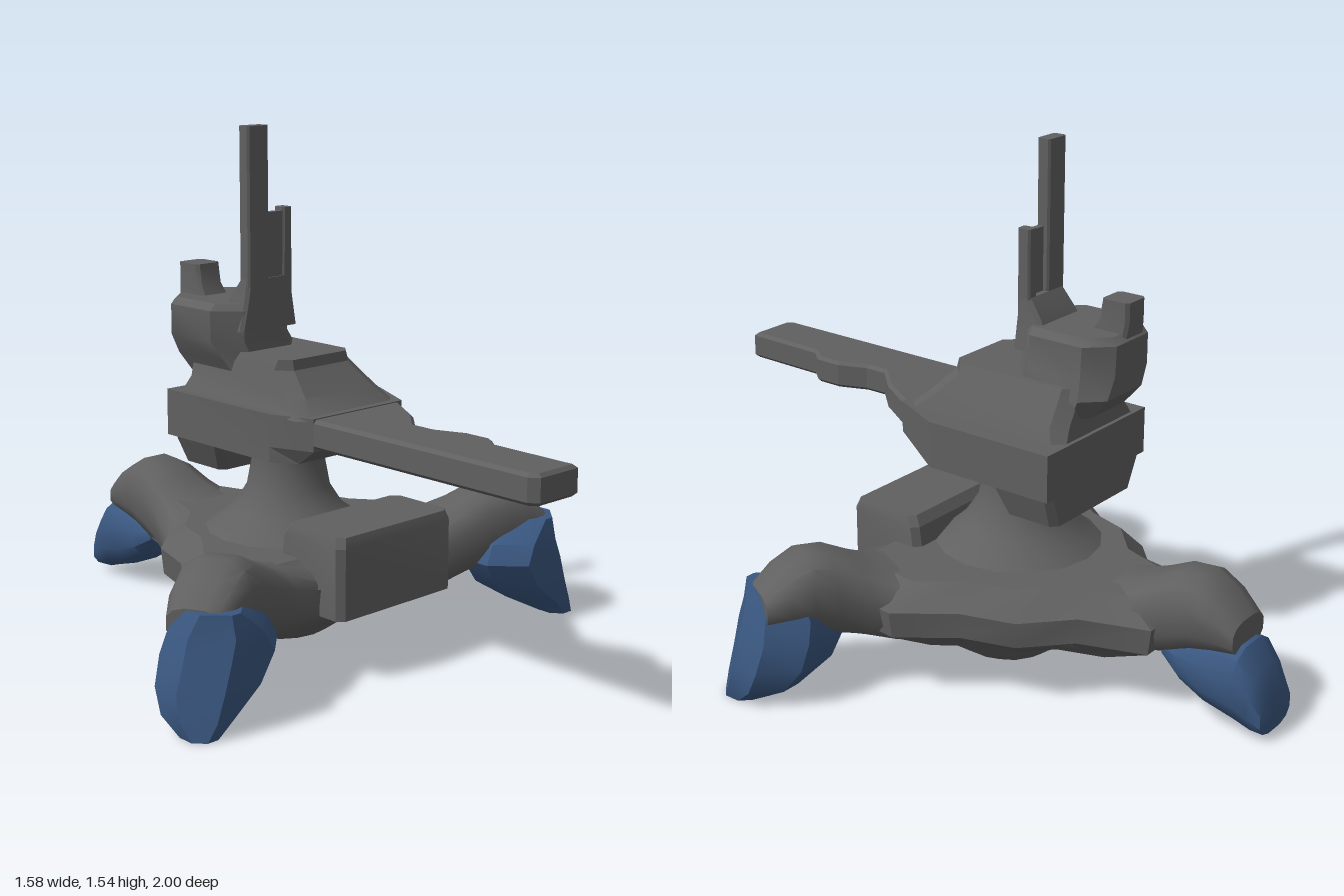
import * as THREE from 'three';
import { toCreasedNormals } from 'three/addons/utils/BufferGeometryUtils.js';

const grey = new THREE.MeshStandardMaterial({ color: 0x606060 });
grey.name = 'gunmetal grey';
const blue = new THREE.MeshStandardMaterial({ color: 0x3a5780 });
blue.name = 'foot blue';

function mesh(name, geometry, material = grey) {
  const m = new THREE.Mesh(geometry, material);
  m.name = name;
  return m;
}

// Closed skin over equal-length rings of [x, y, z], wound outwards
function loft(rings, crease = 0.6) {
  const tris = [];
  const n = rings[0].length;
  for (let i = 0; i < rings.length - 1; i++) {
    for (let j = 0; j < n; j++) {
      const k = (j + 1) % n;
      const [a, b, c, d] = [rings[i][j], rings[i][k], rings[i + 1][k], rings[i + 1][j]];
      tris.push([a, b, c], [a, c, d]);
    }
  }
  const cap = (ring, flip) => {
    const mid = [0, 1, 2].map((q) => ring.reduce((s, p) => s + p[q], 0) / n);
    ring.forEach((p, j) => {
      const next = ring[(j + 1) % n];
      tris.push(flip ? [mid, next, p] : [mid, p, next]);
    });
  };
  cap(rings[0], true);
  cap(rings[rings.length - 1], false);
  let volume = 0;
  for (const [a, b, c] of tris) {
    volume += a[0] * (b[1] * c[2] - b[2] * c[1])
      + a[1] * (b[2] * c[0] - b[0] * c[2]) + a[2] * (b[0] * c[1] - b[1] * c[0]);
  }
  if (volume < 0) tris.forEach((t) => t.reverse());
  const g = new THREE.BufferGeometry();
  g.setAttribute('position', new THREE.Float32BufferAttribute(tris.flat(2), 3));
  return toCreasedNormals(g, crease);
}

// Plan outline scaled about (cx, cz) at each level [y, scale]
function stack(plan, cx, cz, levels, crease) {
  return loft(levels.map(([y, s]) => plan.map(([x, z]) => [cx + (x - cx) * s, y, cz + (z - cz) * s])), crease);
}

// Chamfered rectangles [y, x0, x1, z0, z1, chamfer] joined upwards; side -1 mirrors in x
function block(levels, crease, side = 1) {
  return loft(levels.map(([y, x0, x1, z0, z1, c]) => [
    [x0 + c, z0], [x1 - c, z0], [x1, z0 + c], [x1, z1 - c],
    [x1 - c, z1], [x0 + c, z1], [x0, z1 - c], [x0, z0 + c],
  ].map(([x, z]) => [x * side, y, z])), crease);
}

// Limb along +z from sections [distance, bottom, top, half width]
function limb(sections) {
  const sides = 12;
  const soft = (v) => Math.sign(v) * Math.abs(v) ** 0.75;
  return loft(sections.map(([d, lo, hi, w]) => Array.from({ length: sides }, (_, j) => {
    const a = ((j + 0.5) / sides) * Math.PI * 2;
    return [soft(Math.cos(a)) * w, (lo + hi) / 2 + soft(Math.sin(a)) * (hi - lo) / 2, d];
  })), 0.8);
}

function thigh(name, angle, x, z) {
  const m = mesh(name, limb([
    [0.1, 0.1, 0.33, 0.28], [0.3, 0.12, 0.33, 0.23], [0.42, 0.13, 0.35, 0.165], [0.5, 0.15, 0.385, 0.135],
    [0.58, 0.17, 0.425, 0.12], [0.65, 0.2, 0.43, 0.115], [0.72, 0.22, 0.39, 0.105], [0.785, 0.23, 0.33, 0.085],
  ]));
  m.rotation.y = angle;
  m.position.set(x, 0, z);
  return m;
}

function lathe(profile, sides) {
  return toCreasedNormals(new THREE.LatheGeometry(profile.map((p) => new THREE.Vector2(...p)), sides).toNonIndexed(), 0.7);
}

export function createModel() {
  const model = new THREE.Group();
  model.name = 'tripodTurret';

  // Front legs with block-like feet
  for (const [label, side] of [['left', 1], ['right', -1]]) {
    model.add(thigh(label + 'Thigh', 1.1 * side, 0, -0.09));
    model.add(mesh(label + 'Foot', block([
      [0, 0.68, 0.775, 0.26, 0.37, 0.03], [0.05, 0.59, 0.79, 0.16, 0.38, 0.07],
      [0.12, 0.48, 0.785, 0.11, 0.38, 0.09], [0.2, 0.43, 0.76, 0.1, 0.38, 0.09],
      [0.26, 0.46, 0.74, 0.11, 0.375, 0.09], [0.325, 0.56, 0.71, 0.15, 0.36, 0.06],
    ], 0.7, side), blue));
  }

  // Back leg
  model.add(thigh('backThigh', Math.PI, -0.02, -0.12));
  const backFoot = mesh('backFoot', limb([
    [0.56, 0.16, 0.22, 0.09], [0.62, 0.1, 0.24, 0.11], [0.7, 0.055, 0.26, 0.115],
    [0.8, 0.025, 0.26, 0.11], [0.845, 0.01, 0.2, 0.1], [0.88, 0.01, 0.12, 0.085],
  ]), blue);
  backFoot.rotation.y = Math.PI;
  backFoot.position.set(-0.025, 0, -0.12);
  model.add(backFoot);

  // Hub deck and belly
  const half = [[0.2, 0.27], [0.28, 0.22], [0.46, 0.22], [0.49, -0.04], [0.37, -0.2], [0.32, -0.36], [0.19, -0.48], [0.12, -0.68]];
  const plan = [...half, ...half.map(([x, z]) => [-x, z]).reverse()];
  model.add(mesh('deck', stack(plan, 0, -0.12, [[0.11, 0.68], [0.19, 0.98], [0.27, 1], [0.34, 0.82]])));

  const bowl = mesh('bellyBowl', lathe([[0, 0], [0.13, 0.004], [0.21, 0.05], [0.28, 0.1], [0.37, 0.2]], 14));
  bowl.scale.z = 0.8;
  bowl.position.z = -0.13;
  model.add(bowl);

  model.add(mesh('frontBox', block([
    [0.19, -0.23, 0.23, 0.05, 0.33, 0.02], [0.4, -0.23, 0.23, 0.08, 0.33, 0.02], [0.43, -0.22, 0.22, 0.1, 0.32, 0.02],
  ], 0.4)));

  // Swivel neck
  const neck = mesh('neck', lathe([[0.3, 0.3], [0.25, 0.34], [0.17, 0.4], [0.125, 0.47], [0.11, 0.55], [0.11, 0.65]], 16));
  neck.position.set(-0.025, 0, -0.11);
  model.add(neck);

  // Gun head
  const headPlan = [[-0.26, -0.39], [0.22, -0.39], [0.22, 0.03], [0.14, 0.2], [-0.21, 0.2], [-0.26, 0.07]];
  const lowPlan = headPlan.map(([x, z]) => [x, Math.min(z, 0.14)]);
  const at = (outline, y) => outline.map(([x, z]) => [x, y, z]);
  model.add(mesh('headBody', loft([at(lowPlan, 0.61), at(headPlan, 0.655), at(headPlan, 0.75)], 0.4)));
  model.add(mesh('rearCounterweight', block([
    [0.52, -0.2, 0.18, -0.39, -0.21, 0.02], [0.62, -0.25, 0.21, -0.39, -0.17, 0.02],
  ], 0.4)));
  model.add(mesh('upperHousing', block([
    [0.74, -0.24, 0.15, -0.38, 0.19, 0.03], [0.79, -0.215, 0.13, -0.37, 0.13, 0.04],
    [0.86, -0.2, 0.09, -0.37, 0.065, 0.04], [0.89, -0.19, 0.075, -0.36, 0.06, 0.03],
  ], 0.5)));

  // Barrel, cut from its plan outline
  const outline = new THREE.Shape([
    [-0.2, 0], [-0.2, 0.97], [-0.185, 0.99], [-0.055, 0.99], [-0.05, 0.72], [-0.01, 0.67], [-0.01, 0.59],
    [-0.045, 0.5], [-0.045, 0.42], [0.04, 0.33], [0.12, 0.2], [0.12, 0],
  ].map((p) => new THREE.Vector2(...p)));
  const barrel = new THREE.ExtrudeGeometry(outline, {
    depth: 0.065, bevelEnabled: true, bevelThickness: 0.01, bevelSize: 0.01, bevelSegments: 1,
  });
  barrel.rotateX(Math.PI / 2).translate(0, 0.737, 0);
  model.add(mesh('barrel', barrel));

  // Sensor pod with masts and periscope
  model.add(mesh('sensorPod', block([
    [0.8, -0.19, 0.06, -0.39, -0.1, 0.04], [0.86, -0.22, 0.07, -0.44, -0.11, 0.06],
    [0.92, -0.255, 0.045, -0.44, -0.12, 0.07], [1.01, -0.255, 0.04, -0.44, -0.12, 0.07],
    [1.03, -0.235, 0.02, -0.42, -0.13, 0.06],
  ], 0.6)));
  model.add(mesh('mastFoot', block([
    [0.95, -0.2, 0.02, -0.24, -0.115, 0.01], [1.04, -0.18, 0.005, -0.2, -0.115, 0.01], [1.1, -0.17, 0, -0.158, -0.115, 0.01],
  ], 0.6)));
  model.add(mesh('tallMast', block([
    [1.0, -0.17, -0.09, -0.158, -0.115, 0.006], [1.54, -0.17, -0.09, -0.158, -0.115, 0.006],
  ], 0.4)));
  model.add(mesh('shortMast', block([
    [1.0, -0.04, 0, -0.158, -0.115, 0.006], [1.3, -0.035, 0, -0.158, -0.115, 0.006],
  ], 0.4)));
  model.add(mesh('mastWeb', block([
    [1.0, -0.1, -0.03, -0.14, -0.12, 0.003], [1.29, -0.1, -0.03, -0.14, -0.12, 0.003],
  ], 0.4)));
  model.add(mesh('periscope', block([
    [0.98, -0.18, -0.07, -0.43, -0.29, 0.01], [1.06, -0.17, -0.08, -0.44, -0.34, 0.01], [1.12, -0.17, -0.08, -0.44, -0.35, 0.01],
  ], 0.5)));

  return model;
}
